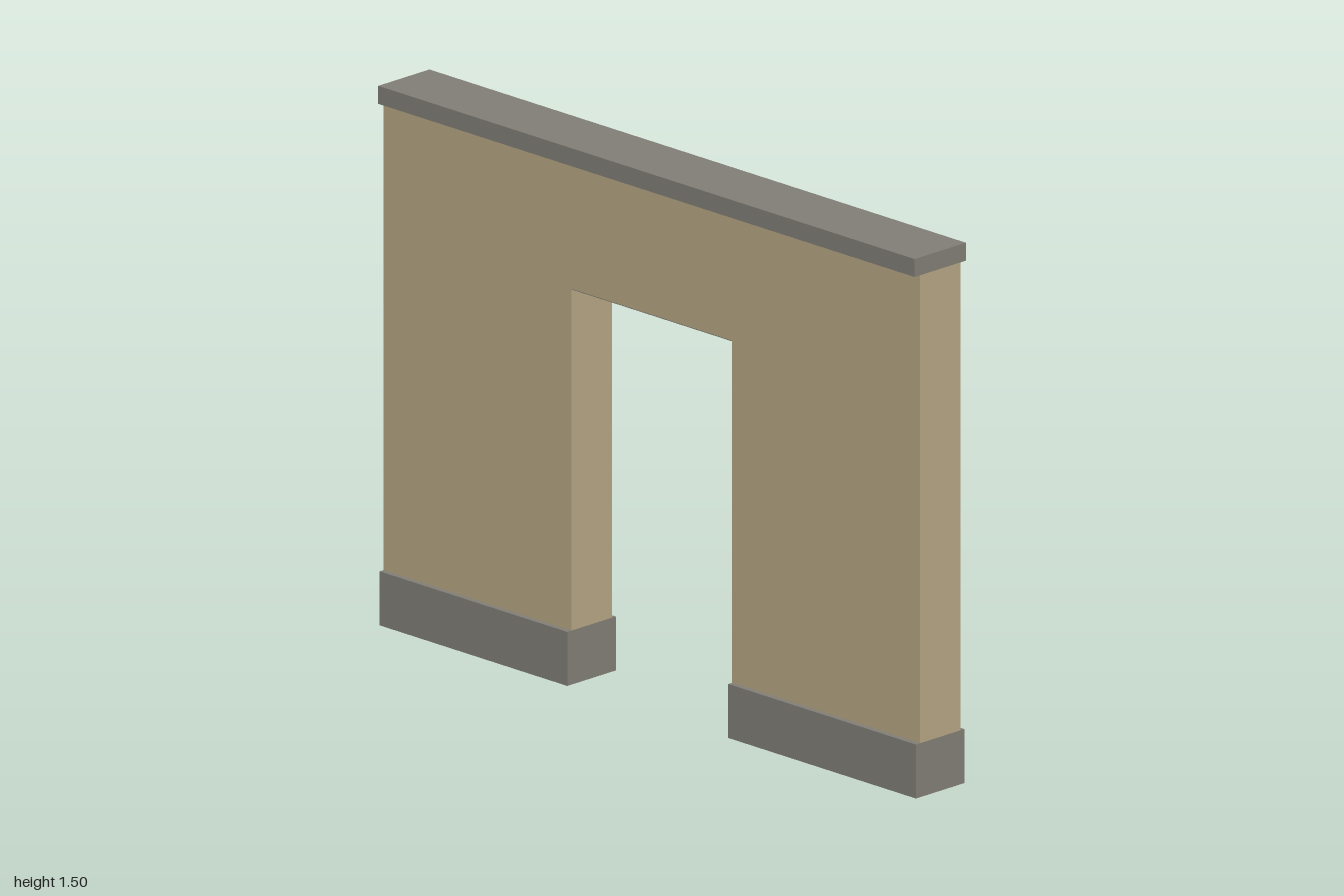
import * as THREE from 'three';

const tan = new THREE.MeshStandardMaterial({ color: 0xb5a483 });
tan.name = 'tanPlaster';
const grey = new THREE.MeshStandardMaterial({ color: 0x807d75, side: THREE.DoubleSide });
grey.name = 'greyStone';

const HALF = 1, DOOR = 0.3, DOOR_TOP = 1.1, BASE_TOP = 0.15, WALL_TOP = 1.45;
const WALL_DEPTH = 0.15;

export function createModel() {
  const model = new THREE.Group();
  model.name = 'doorwayWall';

  const add = (name, geometry, material, x, y, z) => {
    const mesh = new THREE.Mesh(geometry, material);
    mesh.name = name;
    mesh.position.set(x, y, z);
    model.add(mesh);
    return mesh;
  };

  // Wall panel with the doorway cut up from its lower edge
  const outline = new THREE.Shape([
    [-HALF, BASE_TOP], [-DOOR, BASE_TOP], [-DOOR, DOOR_TOP], [DOOR, DOOR_TOP],
    [DOOR, BASE_TOP], [HALF, BASE_TOP], [HALF, WALL_TOP], [-HALF, WALL_TOP],
  ].map(([x, y]) => new THREE.Vector2(x, y)));
  const wall = new THREE.ExtrudeGeometry(outline, { depth: WALL_DEPTH, bevelEnabled: false });
  add('wall', wall, tan, 0, 0, -WALL_DEPTH / 2);

  // Stone underside of the lintel
  add('lintelUnderside', new THREE.BoxGeometry(2 * DOOR, 0.002, WALL_DEPTH), grey, 0, DOOR_TOP - 0.001, 0);

  // Coping along the top
  add('coping', new THREE.BoxGeometry(2 * HALF, 0.05, 0.19), grey, 0, WALL_TOP + 0.025, 0);

  // Hollow plinths, open underneath: the box's downward face is left out
  for (const side of [-1, 1]) {
    const plinth = new THREE.BoxGeometry(HALF - DOOR, BASE_TOP, 0.18);
    const faces = Array.from(plinth.index.array);
    faces.splice(18, 6);
    plinth.setIndex(faces);
    plinth.clearGroups();
    add(side > 0 ? 'leftPlinth' : 'rightPlinth', plinth, grey, side * (HALF + DOOR) / 2, BASE_TOP / 2, 0);
  }

  return model;
}
